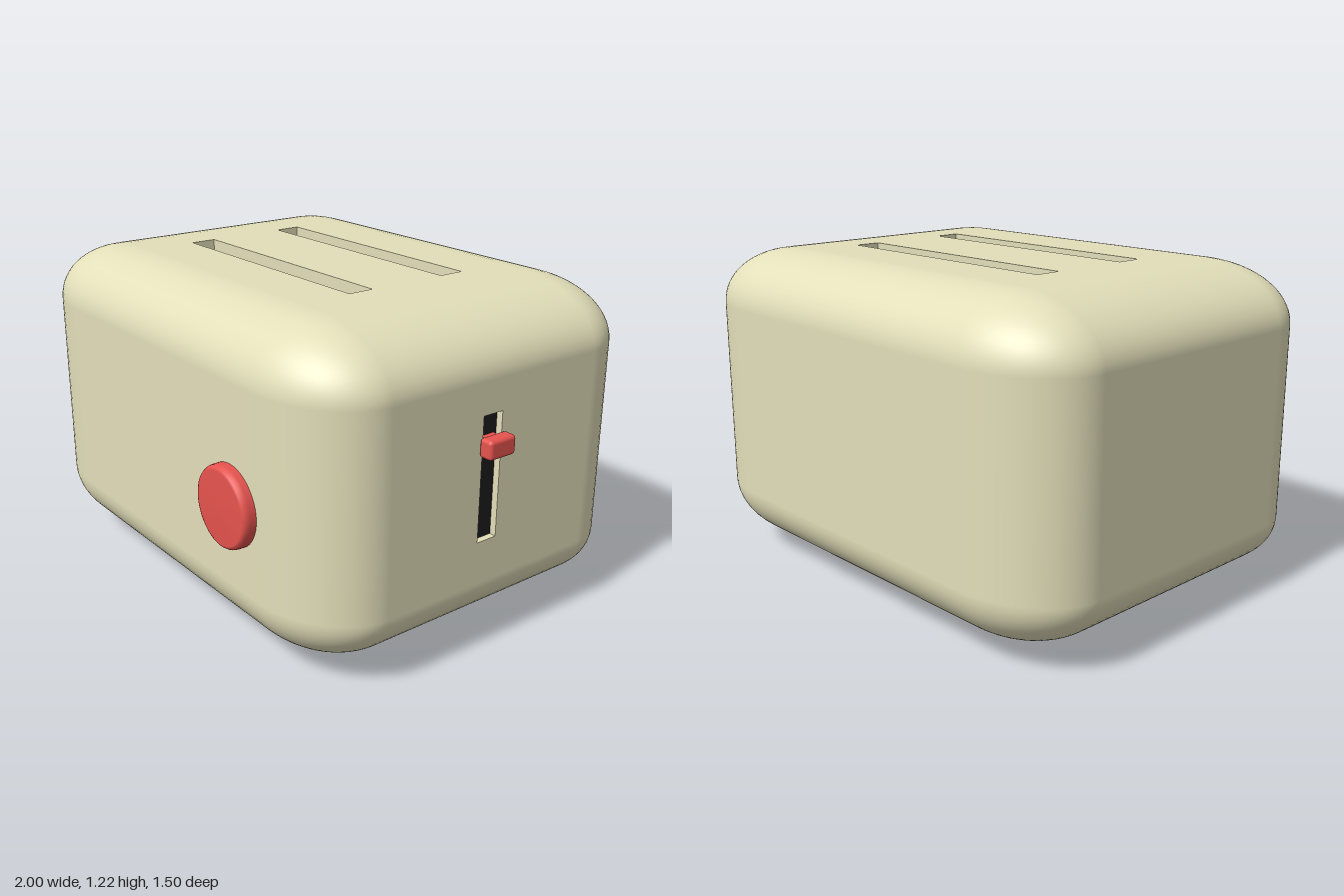
import * as THREE from 'three';
import { RoundedBoxGeometry } from 'three/addons/geometries/RoundedBoxGeometry.js';

const cream = new THREE.MeshStandardMaterial({ color: 0xe3dfba });
const red = new THREE.MeshStandardMaterial({ color: 0xe6534e });
const black = new THREE.MeshStandardMaterial({ color: 0x1c1c1c });

// Body extents and corner rounding (as a share of each side)
const size = new THREE.Vector3(1.945, 1.165, 1.455);
const mid = new THREE.Vector3(-0.0275, 0.6325, -0.0275);
const round = 0.187;
const flat = 1 - 2 * round;
const topY = mid.y + size.y / 2;
const sideX = mid.x + size.x / 2;

function add(parent, name, geometry, material, x = 0, y = 0, z = 0) {
  const mesh = new THREE.Mesh(geometry, material);
  mesh.name = name;
  mesh.position.set(x, y, z);
  parent.add(mesh);
  return mesh;
}

// Rounded shell, leaving out the flat middle of the top and of the +x side
function shellGeometry() {
  const box = new RoundedBoxGeometry(1, 1, 1, 8, round);
  const source = box.index ? box.toNonIndexed() : box;
  const p = source.attributes.position;
  const n = source.attributes.normal;
  const positions = [];
  const normals = [];
  for (let i = 0; i < p.count; i += 3) {
    const corners = [i, i + 1, i + 2];
    const isTop = corners.every((k) => n.getY(k) > 0.9999);
    const isSide = corners.every((k) => n.getX(k) > 0.9999);
    if (isTop || isSide) continue;
    for (const k of corners) {
      positions.push(p.getX(k), p.getY(k), p.getZ(k));
      normals.push(n.getX(k), n.getY(k), n.getZ(k));
    }
  }
  const shell = new THREE.BufferGeometry();
  shell.setAttribute('position', new THREE.Float32BufferAttribute(positions, 3));
  shell.setAttribute('normal', new THREE.Float32BufferAttribute(normals, 3));
  return shell.scale(size.x, size.y, size.z);
}

function rectangle(target, x0, x1, y0, y1) {
  target.moveTo(x0, y0);
  target.lineTo(x1, y0);
  target.lineTo(x1, y1);
  target.lineTo(x0, y1);
  target.closePath();
  return target;
}

// Flat panel with rectangular openings; its outer face lies at local z = 0
function panelGeometry(w, h, openings, depth) {
  const shape = rectangle(new THREE.Shape(), -w / 2, w / 2, -h / 2, h / 2);
  for (const o of openings) shape.holes.push(rectangle(new THREE.Path(), ...o));
  return new THREE.ExtrudeGeometry(shape, { depth, bevelEnabled: false }).translate(0, 0, -depth);
}

export function createModel() {
  const model = new THREE.Group();
  model.name = 'toaster';

  // Body
  const body = new THREE.Group();
  body.name = 'body';
  model.add(body);
  add(body, 'shell', shellGeometry(), cream, mid.x, mid.y, mid.z);

  // Top panel with two bread slots
  const slotDepth = 0.6;
  const slotLength = 0.995;
  const slotX = -0.0225;
  const slotZ = [-0.24, 0.175];
  const slots = slotZ.map((z) => [
    slotX - slotLength / 2 - mid.x, slotX + slotLength / 2 - mid.x,
    mid.z - z - 0.05, mid.z - z + 0.05,
  ]);
  const topPanel = panelGeometry(size.x * flat, size.z * flat, slots, slotDepth).rotateX(-Math.PI / 2);
  add(body, 'topPanel', topPanel, cream, mid.x, topY, mid.z);
  for (const z of slotZ) {
    add(body, 'slotFloor', new THREE.BoxGeometry(slotLength + 0.02, 0.02, 0.12), black,
      slotX, topY - slotDepth, z);
  }

  // Side panel with the lever track
  const trackDepth = 0.035;
  const track = [-0.0425 - mid.z - 0.0275 * 2, 0.0425 - mid.z - 0.0275 * 2, 0.425 - mid.y, 0.88 - mid.y];
  const sidePanel = panelGeometry(size.z * flat, size.y * flat, [track], trackDepth).rotateY(Math.PI / 2);
  add(body, 'sidePanel', sidePanel, cream, sideX, mid.y, mid.z);
  add(body, 'trackFloor', new THREE.BoxGeometry(0.02, 0.475, 0.1), black,
    sideX - trackDepth, 0.6525, 0);

  // Lever, reaching into the track
  add(model, 'leverStem', new THREE.BoxGeometry(0.06, 0.05, 0.06), red, 0.94, 0.775, 0);
  add(model, 'leverHandle', new RoundedBoxGeometry(0.055, 0.07, 0.118, 2, 0.014), red, 0.9715, 0.775, 0);

  // Browning knob with a softly rounded rim
  const knobProfile = [
    [0.147, -0.01], [0.147, 0.022], [0.145, 0.034], [0.139, 0.043], [0.13, 0.047], [0, 0.049],
  ].map(([r, y]) => new THREE.Vector2(r, y));
  const knob = new THREE.LatheGeometry(knobProfile, 48).rotateX(Math.PI / 2);
  add(model, 'knob', knob, red, 0.455, 0.57, 0.70);

  // Feet
  for (const sx of [-1, 1]) {
    for (const sz of [-1, 1]) {
      add(model, 'foot', new THREE.CylinderGeometry(0.054, 0.054, 0.08, 20), red,
        mid.x + sx * 0.5, 0.04, mid.z + sz * 0.408);
    }
  }
  return model;
}
